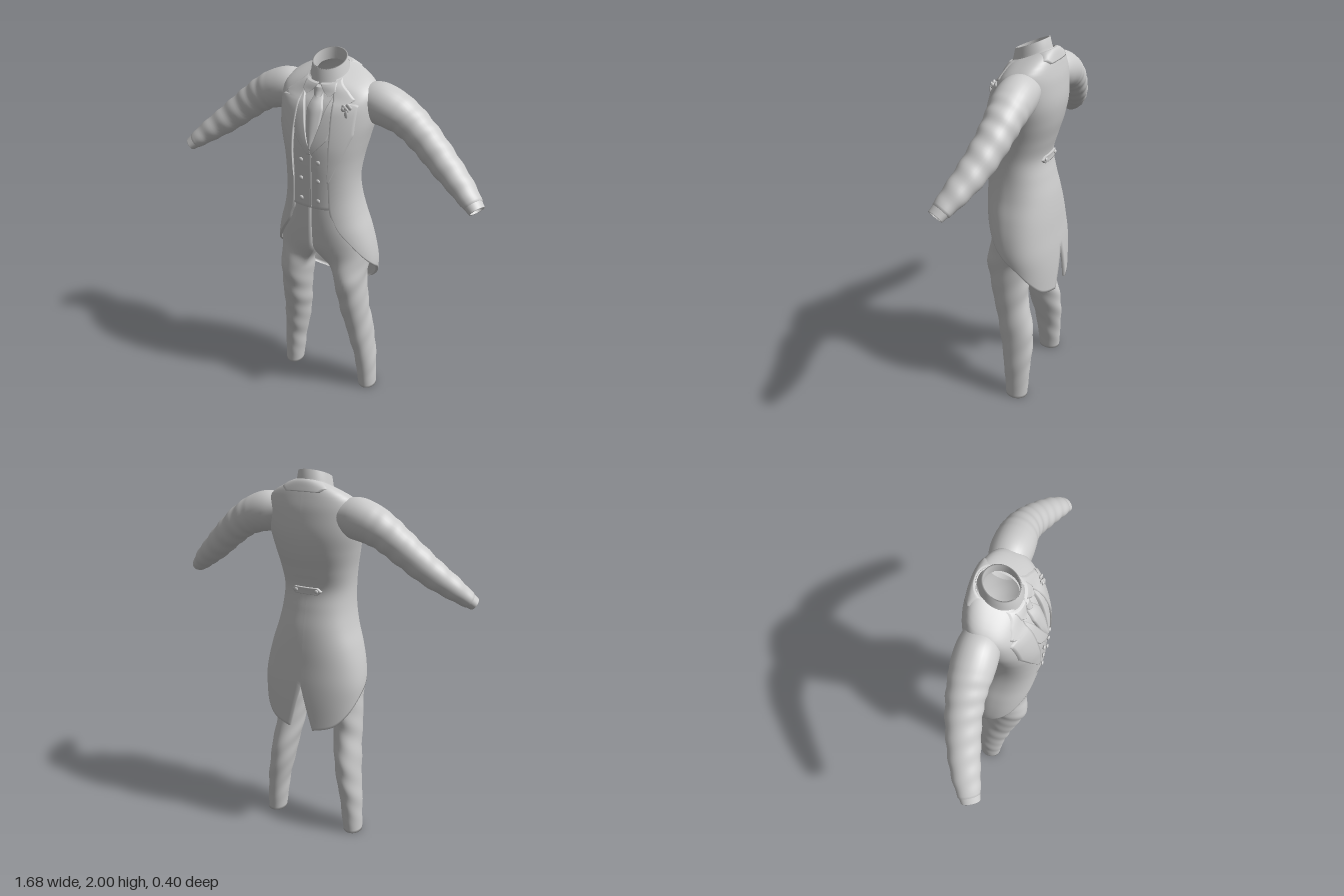
import * as THREE from 'three';

const N = 2.3; // roundness of the torso cross-section
const MAT = new THREE.MeshStandardMaterial({ color: 0xcccccc, side: THREE.DoubleSide });
const { lerp, smoothstep } = THREE.MathUtils;
const spow = (v, p) => Math.sign(v) * Math.abs(v) ** p;

// Smooth lookup in a table whose first column is the ascending key
function sample(tab, key, col) {
  const n = tab.length;
  if (key <= tab[0][0]) return tab[0][col];
  if (key >= tab[n - 1][0]) return tab[n - 1][col];
  let i = 0;
  while (key > tab[i + 1][0]) i++;
  const slope = (a, b) => (tab[b][col] - tab[a][col]) / (tab[b][0] - tab[a][0]);
  const m0 = slope(Math.max(i - 1, 0), i + 1), m1 = slope(i, Math.min(i + 2, n - 1));
  const h = tab[i + 1][0] - tab[i][0], t = (key - tab[i][0]) / h, u = 1 - t;
  return (1 + 2 * t) * u * u * tab[i][col] + t * u * u * h * m0
    + t * t * (3 - 2 * t) * tab[i + 1][col] - t * t * u * h * m1;
}

// Grid surface: fn(i, j) returns a point; closed joins the last column to the first
function surface(name, nu, nv, fn, closed = false) {
  const pos = [], idx = [], cols = closed ? nu : nu + 1;
  for (let j = 0; j <= nv; j++) for (let i = 0; i < cols; i++) pos.push(...fn(i, j));
  for (let j = 0; j < nv; j++) for (let i = 0; i < nu; i++) {
    const a = j * cols + i, b = j * cols + (i + 1) % cols;
    idx.push(a, b, a + cols, b, b + cols, a + cols);
  }
  const g = new THREE.BufferGeometry();
  g.setAttribute('position', new THREE.Float32BufferAttribute(pos, 3));
  g.setIndex(idx);
  g.computeVertexNormals();
  const mesh = new THREE.Mesh(g, MAT);
  mesh.name = name;
  return mesh;
}

// Torso: height, half width, front z, back z
const TORSO = [
  [0.65, 0.27, 0.14, -0.2], [0.8, 0.28, 0.15, -0.2], [0.9, 0.285, 0.165, -0.195],
  [1.0, 0.272, 0.183, -0.185], [1.1, 0.247, 0.193, -0.175], [1.2, 0.215, 0.197, -0.16],
  [1.3, 0.195, 0.197, -0.137], [1.4, 0.19, 0.197, -0.12], [1.5, 0.2, 0.197, -0.145],
  [1.6, 0.22, 0.19, -0.175], [1.7, 0.24, 0.165, -0.19], [1.8, 0.243, 0.127, -0.183],
  [1.85, 0.23, 0.1, -0.168], [1.88, 0.19, 0.087, -0.157], [1.905, 0.13, 0.078, -0.146],
  [1.92, 0.085, 0.068, -0.135]];
function section(y) {
  const w = sample(TORSO, y, 1), f = sample(TORSO, y, 2), b = sample(TORSO, y, 3);
  return { w, c: (f + b) / 2, r: (f - b) / 2, tilt: -0.35 * smoothstep(y, 1.75, 1.92) };
}
// Torso point by angle, measured from the centre back
function around(a, y, off) {
  const s = section(y), dz = -(s.r + off) * spow(Math.cos(a), 2 / N);
  return [(s.w + off) * spow(Math.sin(a), 2 / N), y + s.tilt * dz, s.c + dz];
}
// Torso point by x, on the front (dir 1) or back (dir -1)
function onTorso(x, y, off, dir = 1) {
  const s = section(y), q = Math.min(1, Math.abs(x) / (s.w + off));
  const dz = dir * (s.r + off) * (1 - q ** N) ** (1 / N);
  return [x, y + s.tilt * dz, s.c + dz];
}
const angleAt = (x, y) => Math.asin(Math.min(1, x / section(y).w) ** (N / 2));

// Cloth panel on the torso; rows are [height, x from, x to], edges folded in
function panel(name, rows, off, { mirror = 1, dir = 1, bulge = 0, steps = 36 } = {}) {
  const nu = 14, y0 = rows[0][0], y1 = rows[rows.length - 1][0];
  return surface(name, nu, steps, (i, j) => {
    const t = THREE.MathUtils.clamp((j - 1) / (steps - 2), 0, 1), y = lerp(y0, y1, t);
    let k = 0;
    while (k < rows.length - 2 && y > rows[k + 1][0]) k++;
    const [a, b] = [rows[k], rows[k + 1]], f = (y - a[0]) / (b[0] - a[0]);
    const s = THREE.MathUtils.clamp((i - 1) / (nu - 2), 0, 1);
    const x = lerp(lerp(a[1], b[1], f), lerp(a[2], b[2], f), s);
    const edge = i === 0 || i === nu || j === 0 || j === steps;
    return onTorso(x * mirror, y, off + (edge ? -0.012 : bulge * Math.sin(Math.PI * s)), dir);
  });
}

// Trouser leg: height, centre x, x radius, centre z, z radius
const LEG = [
  [0, 0.25, 0.052, -0.04, 0.062], [0.2, 0.234, 0.06, -0.037, 0.078],
  [0.4, 0.205, 0.07, -0.022, 0.097], [0.6, 0.18, 0.077, 0.02, 0.1],
  [0.8, 0.163, 0.084, 0.04, 0.12], [1.0, 0.15, 0.09, 0.03, 0.13]];
function trouserLeg(m) {
  const nu = 48, nv = 80, open = Math.PI * 5 / 6;
  return surface('trouserLeg', nu, nv, (i, j) => {
    const y = 1.3 * Math.max(0, j - 1) / (nv - 1), p = (i / nu) * Math.PI * 2 - Math.PI;
    const k = j === 0 ? 0 : 1; // first row closes the hem
    const [cx, rx, cz, rz] = [1, 2, 3, 4].map(c => sample(LEG, y, c));
    const fold = 1 + 0.035 * Math.sin(y * 38 + 2 * p) * Math.sin(y * 9 + p) * smoothstep(y, 0, 0.15);
    const lx = cx + rx * k * fold * Math.cos(p), lz = cz + rz * k * fold * Math.sin(p);
    // upper rows blend into one half of the hips
    const b = smoothstep(y, 0.82, 1.03);
    const a = Math.min(1, Math.abs(p) / open) * Math.PI / 2;
    const h = around(p > 0 ? Math.PI / 2 + a : Math.PI / 2 - a, y, -0.018);
    const mid = section(y).c, e = Math.max(0, (Math.abs(p) - open) / (Math.PI - open));
    return [m * lerp(lx, Math.max(0, h[0]), b), y, lerp(lz, lerp(h[2], mid, e), b)];
  }, true);
}

// Sleeve: t, centre x, y, z, radius across, radius in depth
const ARM = [
  [0, 0.15, 1.79, -0.06, 0.07, 0.08], [0.12, 0.235, 1.778, -0.06, 0.1, 0.098],
  [0.25, 0.315, 1.757, -0.06, 0.098, 0.1], [0.4, 0.4, 1.715, -0.06, 0.087, 0.091],
  [0.55, 0.5, 1.64, -0.048, 0.079, 0.083], [0.7, 0.61, 1.55, -0.018, 0.07, 0.077],
  [0.85, 0.72, 1.468, 0.024, 0.055, 0.066], [1, 0.813, 1.394, 0.072, 0.034, 0.048]];
function armTube(name, m, t0, t1, scale, ripple) {
  const nu = 32, nv = 70, at = t => new THREE.Vector3(...[1, 2, 3].map(c => sample(ARM, t, c)));
  return surface(name, nu, nv, (i, j) => {
    const t = lerp(t0, t1, Math.min(1, j / (nv - 3)));
    const inner = j > nv - 3 ? 0.86 : 1; // last rows turn the hem inwards
    const back = j === nv ? 0.06 : 0;
    const dir = at(t + 0.004).sub(at(t - 0.012)).normalize();
    const side = dir.clone().cross(new THREE.Vector3(0, 1, 0)).normalize();
    const up = side.clone().cross(dir), a = (i / nu) * Math.PI * 2;
    const fold = 1 + ripple * Math.sin(t * 62 + 1.5 * Math.sin(a)) * smoothstep(t, 0.2, 0.5);
    const k = scale * inner * fold;
    const p = at(t - back).addScaledVector(up, Math.cos(a) * k * sample(ARM, t, 4))
      .addScaledVector(side, Math.sin(a) * k * sample(ARM, t, 5));
    return [m * p.x, p.y, p.z];
  }, true);
}

// Tailcoat half: cutaway front, slanting hem, open vent at the back
const HEM = [[0, 0.65], [0.2, 0.685], [0.35, 0.75], [0.5, 0.835], [0.7, 0.95],
  [0.85, 1.07], [0.95, 1.155], [1, 1.23]];
const FRONT_EDGE = [[1.2, 0.115], [1.27, 0.1], [1.45, 0.095], [1.55, 0.1], [1.8, 0.088], [1.92, 0.065]];
function coatHalf(m) {
  const nu = 48, nv = 90;
  return surface('tailcoat', nu, nv, (i, j) => {
    const s = THREE.MathUtils.clamp((i - 1) / (nu - 2), 0, 1);
    const y = lerp(1.92, sample(HEM, s, 1), Math.min(1, j / (nv - 1)));
    const vent = 0.07 * Math.max(0, (0.9 - y) / 0.25);
    const a = lerp(angleAt(vent, y), Math.PI - angleAt(sample(FRONT_EDGE, y, 1), y), s);
    const edge = (i === 0 && y < 0.9) || i === nu || j === nv;
    const p = around(a, y, edge ? -0.014 : 0);
    return [m * p[0], p[1], p[2]];
  });
}

// Standing collar, higher at the back, with an inner wall
function neckCollar() {
  const rows = [[1.9, 0.1, 0.102], [1.925, 0.09, 0.094], [1.967, 0.084, 0.084], [1.968, 0.078, 0.078], [1.91, 0.08, 0.08]];
  return surface('shirtCollar', 48, rows.length - 1, (i, j) => {
    const [y, rx, rz] = rows[j], a = (i / 48) * Math.PI * 2, dz = rz * Math.cos(a);
    return [rx * Math.sin(a), y - 0.38 * dz, -0.025 + dz];
  }, true);
}

export function createModel() {
  const g = new THREE.Group();
  g.name = 'tailcoatSuit';
  const knob = (name, x, y, r, off, dir = 1, sy = 1) => {
    const b = new THREE.Mesh(new THREE.SphereGeometry(r, 16, 10), MAT);
    b.scale.set(1, sy, 0.55);
    b.position.set(...onTorso(x, y, off, dir));
    b.name = name;
    g.add(b);
  };

  // Shirt body and neck
  g.add(surface('shirtBody', 64, 50, (i, j) =>
    around((i / 64) * Math.PI * 2, lerp(1.26, 1.92, j / 50), -0.018), true));
  g.add(neckCollar());

  // Mirrored parts
  for (const m of [1, -1]) {
    const o = { mirror: m };
    g.add(trouserLeg(m), coatHalf(m));
    g.add(armTube('sleeve', m, 0, 0.96, 1, 0.03), armTube('shirtCuff', m, 0.88, 1, 0.95, 0));
    g.add(panel('collarWing', [[1.86, 0.055, 0.062], [1.885, 0.03, 0.085], [1.915, 0.006, 0.08]], 0.012, o));
    g.add(panel('waistcoatFront', [[1.262, -0.01, 0.14], [1.56, -0.01, 0.14], [1.58, 0.005, 0.14],
      [1.7, 0.042, 0.13], [1.87, 0.08, 0.11]], -0.005, o));
    g.add(panel('waistcoatLapel', [[1.555, -0.01, 0.01], [1.63, 0.02, 0.08], [1.7, 0.04, 0.105],
      [1.87, 0.078, 0.11]], 0.003, o));
    g.add(panel('coatLapel', [[1.42, 0.093, 0.1], [1.54, 0.098, 0.15], [1.66, 0.096, 0.195], [1.81, 0.087, 0.2],
      [1.822, 0.086, 0.15], [1.835, 0.085, 0.185], [1.88, 0.075, 0.14], [1.915, 0.066, 0.09]], 0.008, { ...o, steps: 60 }));
    for (const y of [1.31, 1.42, 1.52]) knob('waistcoatButton', m * 0.047, y, 0.012, 0);
    knob('backButton', m * 0.058, 1.4, 0.011, 0.012, -1);
  }

  // Necktie
  g.add(panel('tieBlade', [[1.58, -0.01, 0.01], [1.68, -0.034, 0.034], [1.77, -0.04, 0.04], [1.865, -0.018, 0.018]],
    -0.004, { bulge: 0.01 }));
  g.add(panel('tieKnot', [[1.855, -0.018, 0.018], [1.905, -0.03, 0.03]], 0.006, { bulge: 0.01 }));

  // Half belt and collar on the back
  g.add(panel('backBelt', [[1.382, -0.065, 0.065], [1.4, -0.085, 0.085], [1.418, -0.065, 0.065]],
    0.01, { dir: -1, steps: 12 }));
  g.add(panel('coatCollarBack', [[1.865, -0.09, 0.09], [1.885, -0.12, 0.12], [1.918, -0.08, 0.08]],
    0.006, { dir: -1, steps: 16 }));

  // Flower pin on the left lapel
  for (let k = 0; k < 5; k++) {
    const a = k * Math.PI * 0.4;
    knob('pinPetal', 0.155 + 0.015 * Math.cos(a), 1.8 + 0.015 * Math.sin(a), 0.011, 0.012);
  }
  knob('pinCentre', 0.155, 1.8, 0.01, 0.018);
  knob('pinLeaf', 0.16, 1.765, 0.009, 0.012, 1, 2.2);
  return g;
}
